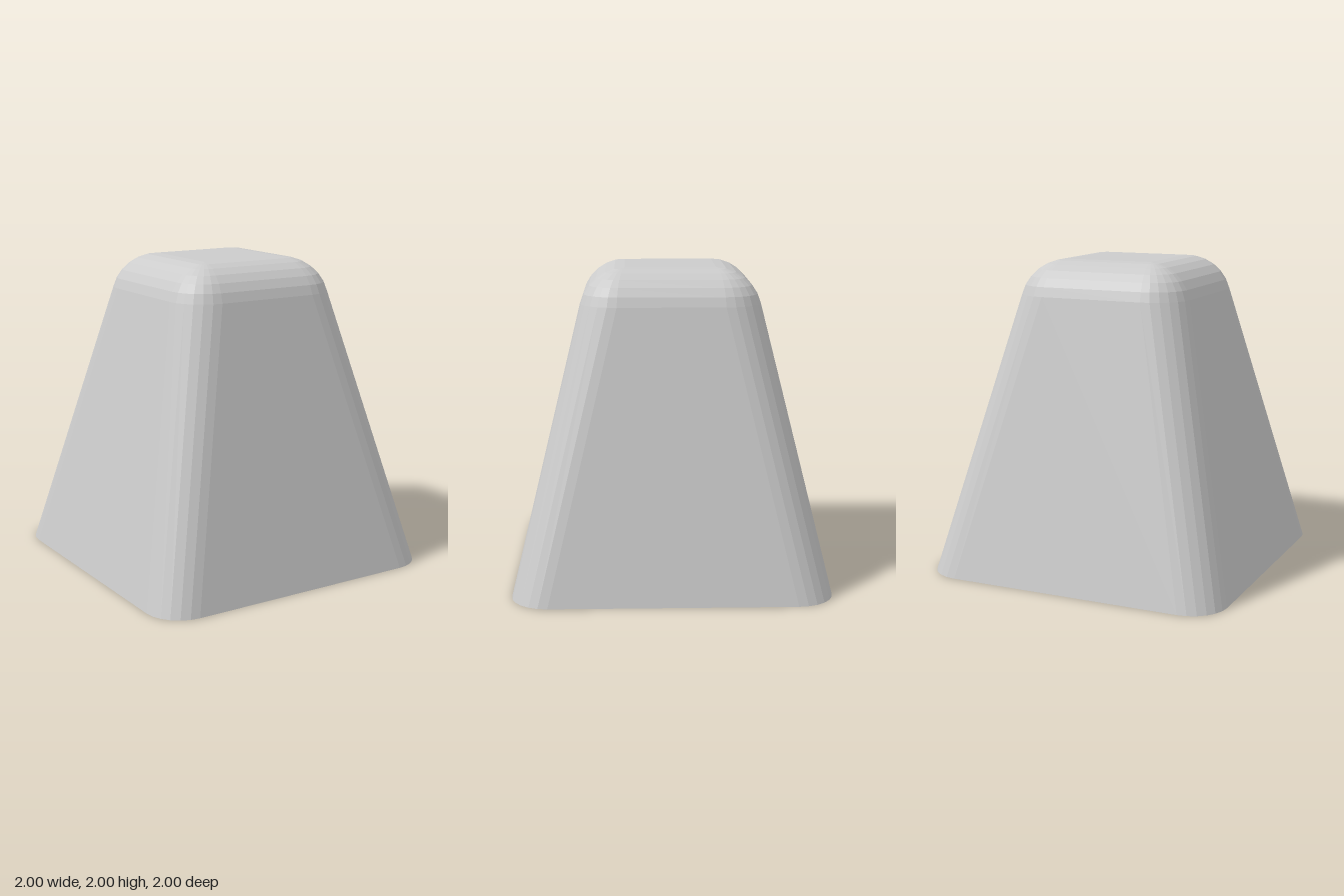
import * as THREE from 'three';

const SEG = 6;                       // facets across every rounded edge
const SLOPE = Math.atan(0.2416);     // lean of the four walls
const FLAT = 0.29;                   // half-size of the flat top
const R = 0.288;                     // radius of the top rounding

// Rounded-square ring: half-width w, straight sides reaching to s
function ring(y, w, s) {
  const pts = [];
  for (let q = 0; q < 4; q++) {
    const a0 = q * Math.PI / 2;
    const c = Math.cos(a0), n = Math.sin(a0);
    for (let k = 0; k <= SEG; k++) {
      const a = (k / SEG) * Math.PI / 2;
      const x = s + (w - s) * Math.cos(a), z = s + (w - s) * Math.sin(a);
      pts.push([x * c - z * n, y, x * n + z * c]);
    }
  }
  return pts;
}

export function createModel() {
  // Cross-sections from the base, up the walls, over the rounded shoulder
  const rings = [ring(0, 1, 0.767)];
  for (let i = 0; i <= SEG; i++) {
    const t = i / SEG;
    const a = (Math.PI / 2 - SLOPE) * (1 - t);
    const s = FLAT + 0.047 * Math.sin(a) / Math.cos(SLOPE);
    rings.push(ring(2 - R + R * Math.cos(a), FLAT + R * Math.sin(a), s));
  }

  const count = rings[0].length, last = rings.length - 1;
  const positions = rings.flat(2);
  const index = [];
  for (let i = 0; i < last; i++) {
    for (let j = 0; j < count; j++) {
      const k = (j + 1) % count;
      const a = i * count + j, b = i * count + k;
      const c = a + count, d = b + count;
      // corner points merge on the flat top, so those quads become triangles
      if (i + 1 < last || j % (SEG + 1) === SEG) index.push(a, c, d);
      index.push(a, d, b);
    }
  }

  // Base cap as a fan, top cap as a square of the four merged corners
  const centre = positions.length / 3;
  positions.push(0, 0, 0);
  for (let j = 0; j < count; j++) index.push(centre, j, (j + 1) % count);
  const [p, q, r, s] = [0, 1, 2, 3].map((m) => last * count + m * (SEG + 1));
  index.push(p, r, q, p, s, r);

  const geometry = new THREE.BufferGeometry();
  geometry.setAttribute('position', new THREE.Float32BufferAttribute(positions, 3));
  geometry.setIndex(index);
  const flat = geometry.toNonIndexed();
  flat.computeVertexNormals();

  const body = new THREE.Mesh(flat, new THREE.MeshStandardMaterial({ color: 0xcccccc, flatShading: true }));
  body.name = 'taperedBlock';
  const group = new THREE.Group();
  group.name = 'roundedTaperedBlock';
  group.add(body);
  return group;
}
